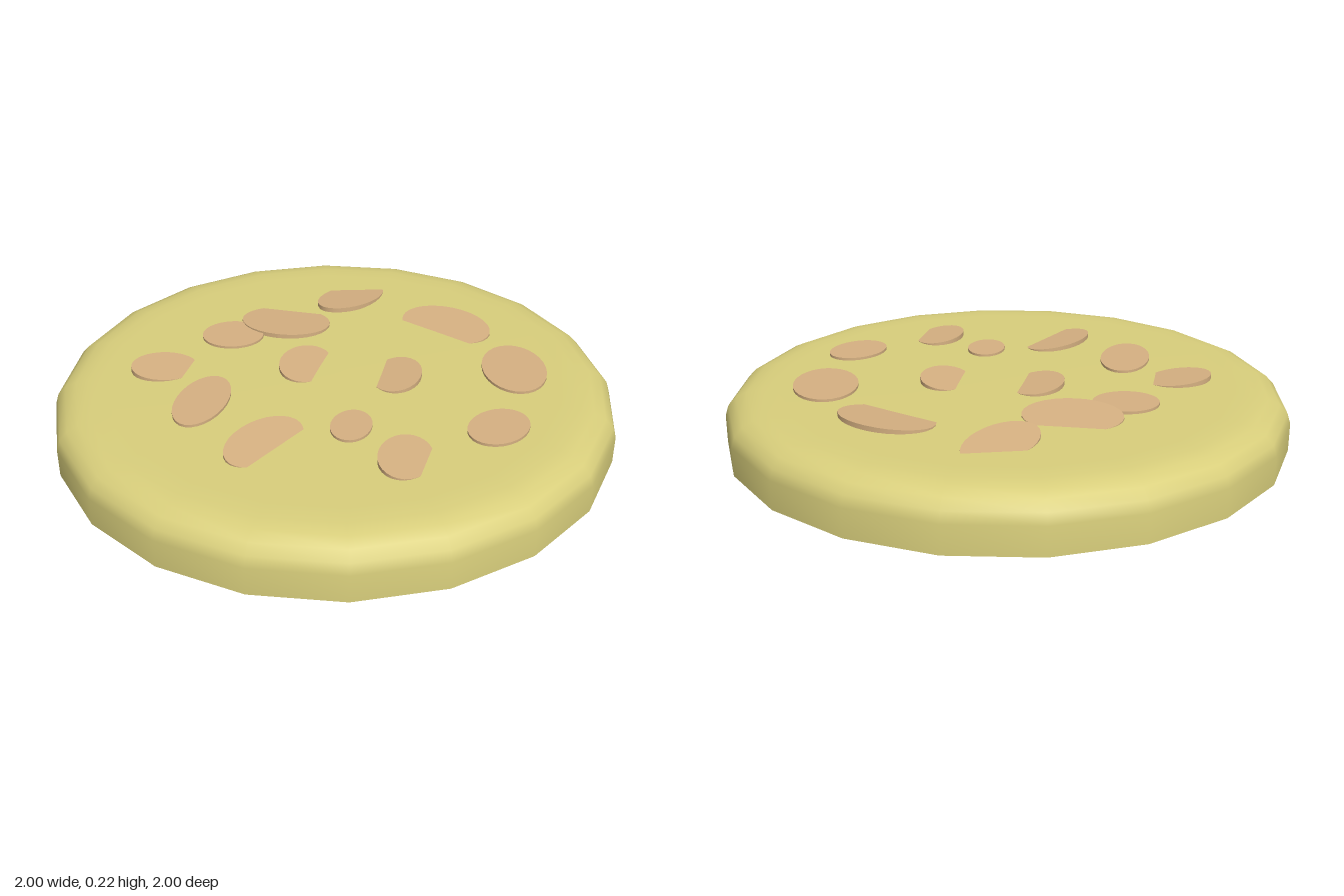
import * as THREE from 'three';

const SIDES = 20;
const TOP = 0.197;

// Oval slices: x, z, long radius, short radius, long-axis direction (x, z),
// then for tilted ones the sinking direction (x, z) and where it meets the top
const SLICES = [
  [0.09, -0.60, 0.16, 0.10, 0.7, -0.7, 0, -1, 0.05],
  [0.44, -0.345, 0.18, 0.12, 0.8, 0.6, -0.64, 0.77, 0.05],
  [-0.17, -0.40, 0.17, 0.13, 0.96, 0.26, 0.25, -0.97, 0.077],
  [-0.37, -0.30, 0.115, 0.10, 1, 0],
  [-0.61, -0.07, 0.12, 0.095, 0.95, -0.2, 0.95, 0.3, 0.07],
  [-0.10, -0.07, 0.13, 0.095, 0.3, -0.95, 0.95, 0.32, 0.05],
  [0.22, 0.02, 0.125, 0.09, 0.2, -0.97, -0.96, -0.27, 0.05],
  [0.645, 0, 0.165, 0.115, 0, 1],
  [-0.465, 0.17, 0.165, 0.09, 0.3, -0.95],
  [-0.25, 0.43, 0.165, 0.10, 0.65, -0.76, 0.74, 0.67, 0.04],
  [0.04, 0.35, 0.095, 0.07, 0.25, -0.97],
  [0.53, 0.38, 0.12, 0.095, 0.7, -0.7],
  [0.205, 0.54, 0.125, 0.09, 0.3, -0.95, 0.95, 0.35, 0.055],
];

function makeSlice([x, z, long, short, ax, az, dx, dz, meet], material) {
  const thick = 0.018;
  const geometry = new THREE.CylinderGeometry(1, 1, thick, 28);
  geometry.translate(0, -thick / 2, 0);
  geometry.scale(long, 1, short);
  geometry.rotateY(Math.atan2(-az, ax));
  // Shear the disc so one side dips below the top surface
  const p = geometry.attributes.position;
  const slope = meet === undefined ? 0 : 0.016 / (meet + short);
  for (let i = 0; i < p.count; i++) {
    const rise = slope ? slope * (meet - p.getX(i) * dx - p.getZ(i) * dz) : 0.008;
    p.setY(i, p.getY(i) + rise);
  }
  geometry.computeVertexNormals();
  const mesh = new THREE.Mesh(geometry, material);
  mesh.position.set(x, TOP, z);
  return mesh;
}

export function createModel() {
  const model = new THREE.Group();
  model.name = 'toppedRound';
  const dough = new THREE.MeshStandardMaterial({ color: 0xd9cf7c });
  const topping = new THREE.MeshStandardMaterial({ color: 0xd6b182 });

  // Round base with a softly rolled upper rim
  const profile = [
    [1, 0], [1, 0.1], [0.988, 0.137], [0.96, 0.167], [0.92, 0.185],
    [0.87, 0.193], [0.8, 0.195], [0, TOP],
  ].map(([r, y]) => new THREE.Vector2(r, y));
  const base = new THREE.Mesh(new THREE.LatheGeometry(profile, SIDES), dough);
  base.name = 'base';
  model.add(base);

  // Flat underside
  const underside = new THREE.Mesh(new THREE.CircleGeometry(1, SIDES).rotateX(Math.PI / 2), dough);
  underside.name = 'underside';
  model.add(underside);

  // Scattered slices on top
  const slices = new THREE.Group();
  slices.name = 'slices';
  SLICES.forEach((spec, i) => {
    const slice = makeSlice(spec, topping);
    slice.name = `slice${i + 1}`;
    slices.add(slice);
  });
  model.add(slices);
  return model;
}
